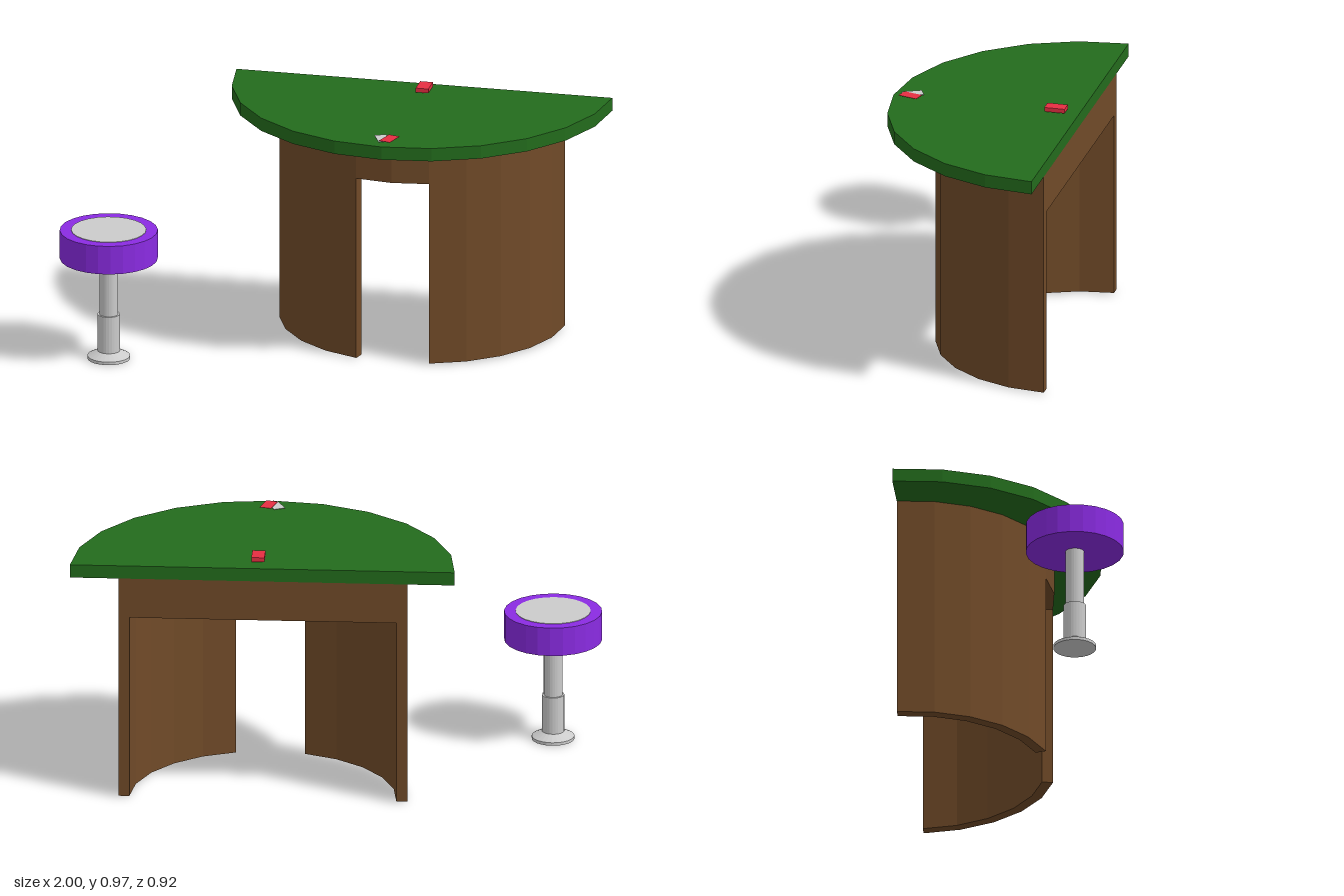
import * as THREE from 'three';

const mat = (color) => new THREE.MeshStandardMaterial({ color, flatShading: true });
const STEP = Math.PI / 12;
const BACK = -0.46;

function mesh(parent, name, geometry, material, x = 0, y = 0, z = 0) {
  const m = new THREE.Mesh(geometry, material);
  m.name = name;
  m.position.set(x, y, z);
  parent.add(m);
  return m;
}

// Upright slab on a circular sector; angles count in 15 degree steps from the front (+z).
function sector(rOuter, rInner, from, to, height) {
  const pts = [];
  const at = (r, i) => pts.push(new THREE.Vector2(r * Math.sin(i * STEP), -r * Math.cos(i * STEP)));
  for (let i = from; i <= to; i++) at(rOuter, i);
  if (rInner > 0) for (let i = to; i >= from; i--) at(rInner, i);
  const g = new THREE.ExtrudeGeometry(new THREE.Shape(pts), { depth: height, bevelEnabled: false });
  return g.rotateX(-Math.PI / 2);
}

export function createModel() {
  const model = new THREE.Group();
  model.name = 'cardTableAndStool';
  const green = mat(0x236b1c), brown = mat(0x704a28), red = mat(0xe62e42);
  const purple = mat(0x8a2be2), grey = mat(0xcccccc);

  // Half-round table: top, solid apron and two curved walls either side of the gap
  const table = new THREE.Group();
  table.name = 'table';
  table.position.set(0.26, 0, BACK);
  model.add(table);
  mesh(table, 'tableTop', sector(0.738, 0, -6, 6, 0.052), green, 0, 0.894, 0);
  mesh(table, 'apron', sector(0.554, 0, -6, 6, 0.159), brown, -0.002, 0.735, 0);
  mesh(table, 'rightWall', sector(0.554, 0.512, -6, -1, 0.73), brown, -0.002, 0.005, 0);
  mesh(table, 'leftWall', sector(0.554, 0.512, 1, 6, 0.73), brown, -0.002, 0.005, 0);

  // Card deck and two dealt cards, hovering just above the top
  mesh(model, 'cardDeck', new THREE.BoxGeometry(0.05, 0.017, 0.08), red, 0.28, 0.9635, -0.37);
  const card = new THREE.BoxGeometry(0.046, 0.0015, 0.078);
  mesh(model, 'faceUpCard', card, grey, 0.247, 0.9545, 0.205).rotation.y = 0.44;
  mesh(model, 'faceDownCard', card, red, 0.275, 0.9565, 0.208).rotation.y = -0.28;

  // Stool: flared foot with stepped post, round seat and inset pad
  const stool = new THREE.Group();
  stool.name = 'stool';
  stool.position.set(-0.812, 0, 0.273);
  model.add(stool);
  const profile = [[0, 0], [0.082, 0], [0.082, 0.012], [0.043, 0.032], [0.043, 0.18],
    [0.036, 0.18], [0.036, 0.41]].map(([r, y]) => new THREE.Vector2(r, y));
  mesh(stool, 'pedestal', new THREE.LatheGeometry(profile, 24), grey);
  mesh(stool, 'seat', new THREE.CylinderGeometry(0.188, 0.188, 0.114, 24), purple, 0, 0.464, 0);
  mesh(stool, 'seatPad', new THREE.CylinderGeometry(0.144, 0.144, 0.01, 24), grey, 0, 0.518, 0);

  return model;
}
